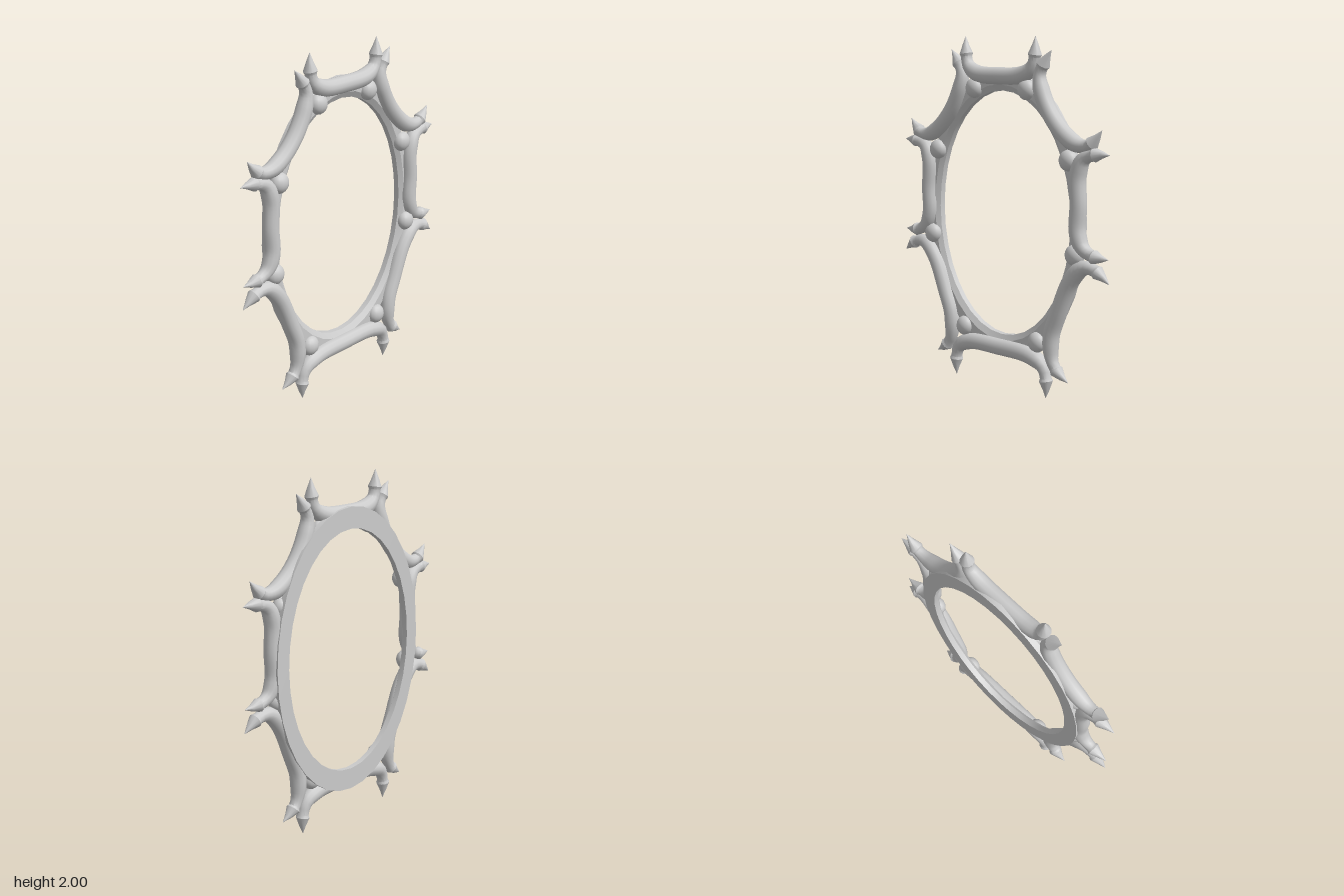
import * as THREE from 'three';
import { toCreasedNormals } from 'three/addons/utils/BufferGeometryUtils.js';

const CX = 0.005; // centre line of the frame
const SIDES = 12;

// Radius of a branch at distance d from its nearer tip: spike, neck, full body
function branchRadius(d) {
  if (d < 0.1) return Math.max(0.0005, 0.4 * d);
  return 0.033 + 0.015 * THREE.MathUtils.smoothstep(d, 0.115, 0.26);
}

// Round branch swept along a flat curve, pointed at both ends
function branchGeometry(points) {
  const curve = new THREE.CatmullRomCurve3(points.map(([x, y]) => new THREE.Vector3(x, y, 0)));
  const length = curve.getLength();
  const stops = [0, 0.05, 0.0995, 0.115];
  const body = 26;
  for (let i = 1; i < body; i++) stops.push(0.115 + (length - 0.23) * i / body);
  stops.push(length - 0.115, length - 0.0995, length - 0.05, length);

  const position = [], index = [];
  stops.forEach((s, i) => {
    const u = s / length;
    const p = curve.getPointAt(u), t = curve.getTangentAt(u);
    const r = branchRadius(Math.min(s, length - s));
    for (let j = 0; j < SIDES; j++) {
      const a = j / SIDES * Math.PI * 2;
      position.push(p.x - t.y * r * Math.cos(a), p.y + t.x * r * Math.cos(a), r * Math.sin(a));
      if (i === 0) continue;
      const k = (j + 1) % SIDES, lo = (i - 1) * SIDES, hi = i * SIDES;
      index.push(lo + j, lo + k, hi + j, lo + k, hi + k, hi + j);
    }
  });
  const geometry = new THREE.BufferGeometry();
  geometry.setAttribute('position', new THREE.Float32BufferAttribute(position, 3));
  geometry.setIndex(index);
  return toCreasedNormals(geometry, 0.65);
}

export function createModel() {
  const model = new THREE.Group();
  model.name = 'ovalFrame';
  const material = new THREE.MeshStandardMaterial({ color: 0xcccccc });
  const add = (name, geometry, x = CX, y = 0, z = 0) => {
    const mesh = new THREE.Mesh(geometry, material);
    mesh.name = name;
    mesh.position.set(x, y, z);
    model.add(mesh);
    return mesh;
  };

  // Flat-backed oval ring
  const profile = [
    [0.515, -0.053], [0.605, -0.053], [0.605, -0.02], [0.585, 0],
    [0.54, 0], [0.515, -0.02], [0.515, -0.053],
  ].map(([r, h]) => new THREE.Vector2(r, h));
  const ring = new THREE.LatheGeometry(profile, 36);
  ring.rotateX(Math.PI / 2);
  ring.scale(1, 1.357, 1);
  add('ring', toCreasedNormals(ring, 0.5), CX, 1, 0);

  // Top and bottom branches, mirrored within themselves
  const mirrorPath = (half) => [...half, ...half.slice(0, -1).reverse().map(([x, y]) => [-x, y])];
  add('topBranch', branchGeometry(mirrorPath(
    [[0.272, 2], [0.268, 1.9], [0.25, 1.835], [0.18, 1.792], [0, 1.78]])));
  add('bottomBranch', branchGeometry(mirrorPath(
    [[0.36, 0], [0.362, 0.1], [0.335, 0.18], [0.238, 0.222], [0, 0.23]])));

  // Branches and beads repeated on both sides
  const sideBranches = {
    UpperBranch: [[0.39, 1.925], [0.335, 1.855], [0.303, 1.79], [0.317, 1.71], [0.387, 1.58],
      [0.49, 1.475], [0.583, 1.427], [0.665, 1.433], [0.747, 1.513]],
    MiddleBranch: [[0.8, 1.386], [0.695, 1.382], [0.62, 1.354], [0.583, 1.264], [0.588, 1.105],
      [0.583, 0.962], [0.62, 0.878], [0.695, 0.842], [0.8, 0.837]],
    LowerBranch: [[0.808, 0.706], [0.71, 0.767], [0.625, 0.772], [0.54, 0.69], [0.45, 0.495],
      [0.4, 0.363], [0.403, 0.235], [0.44, 0.172], [0.525, 0.119]],
  };
  const beads = [[0.205, 1.708], [0.512, 1.34], [0.56, 0.833], [0.29, 0.308]];
  for (const [side, sx] of [['left', 1], ['right', -1]]) {
    for (const [name, path] of Object.entries(sideBranches)) {
      add(side + name, branchGeometry(path.map(([x, y]) => [sx * x, y])));
    }
    beads.forEach(([x, y], i) => {
      const bead = new THREE.SphereGeometry(0.058, 14, 10);
      bead.scale(1, 1, 0.8);
      add(`${side}Bead${i + 1}`, bead, CX + sx * x, y, -0.003);
    });
  }
  return model;
}
